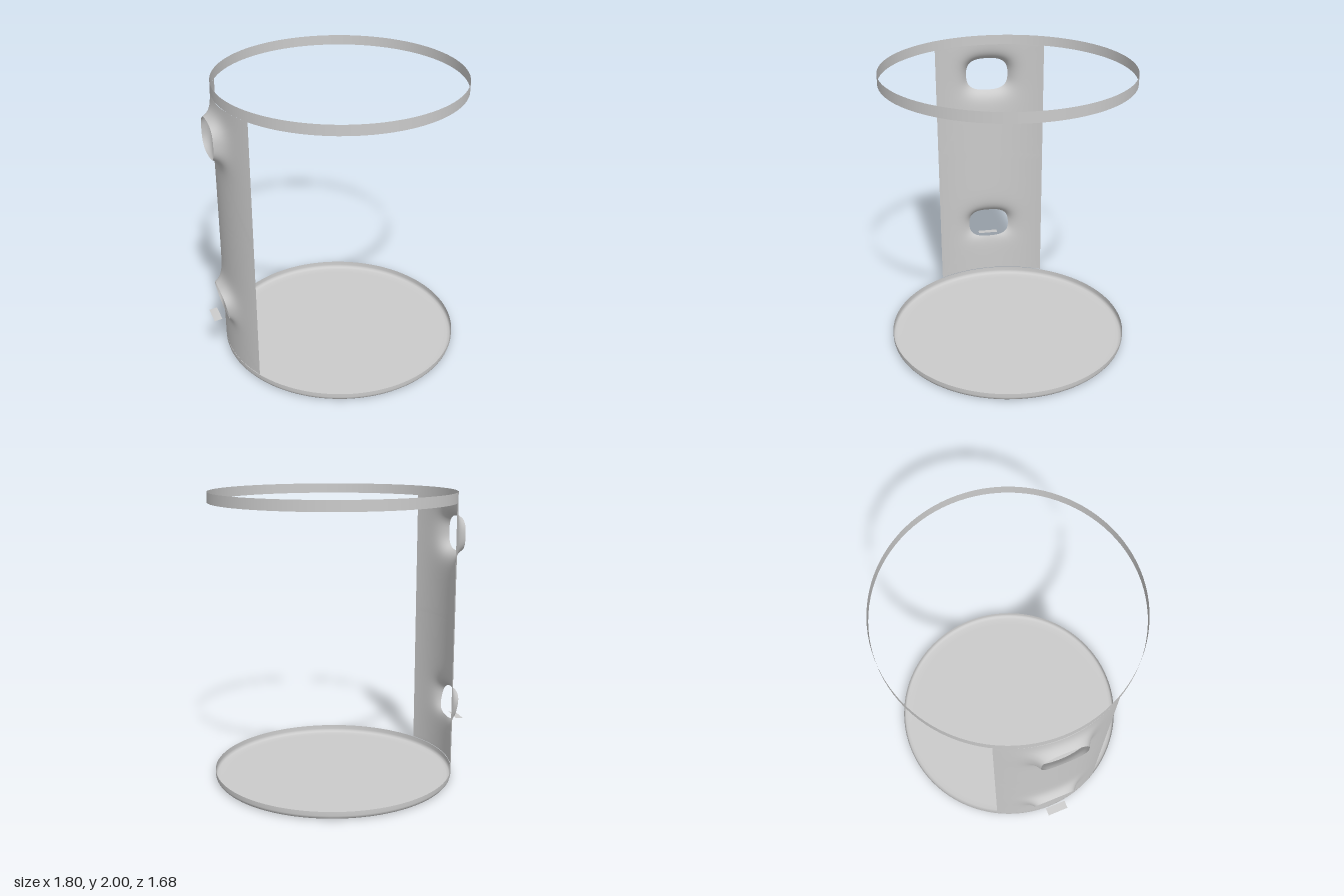
import * as THREE from 'three';

const R = 0.84, CX = 0.057, HALF = 0.4; // drum radius, drum axis, half width of the panel

// Curved wall patch with one flared, rounded opening, built as loops from the lip to the patch border
function flaredPatch(yMin, yMax, hole, lipX) {
  const n = 18, rings = 22, border = [];
  const corners = [[-HALF, yMin], [HALF, yMin], [HALF, yMax], [-HALF, yMax]];
  for (let c = 0; c < 4; c++) {
    const [z0, y0] = corners[c], [z1, y1] = corners[(c + 1) % 4];
    for (let i = 0; i < n; i++) border.push([z0 + (z1 - z0) * i / n, y0 + (y1 - y0) * i / n]);
  }
  const wallX = z => CX - Math.sqrt(R * R - z * z);
  const count = border.length, pos = [], index = [];
  for (let r = 0; r <= rings; r++) {
    const t = Math.pow(r / rings, 2);
    for (const [bz, by] of border) {
      // lip point: rounded-rectangle outline in the direction of the border point
      const dy = by - hole.y, p = 2.8;
      const k = Math.pow(Math.pow(Math.abs(bz) / hole.w, p) + Math.pow(Math.abs(dy) / hole.h, p), -1 / p);
      const lz = bz * k, ly = hole.y + dy * k;
      const z = lz + (bz - lz) * t, y = ly + (by - ly) * t;
      const d = t * Math.hypot(bz - lz, by - ly);
      const flare = Math.min(0, lipX(ly) - wallX(lz)) * Math.exp(-d / 0.04);
      pos.push(wallX(z) + flare, y, z);
    }
  }
  for (let r = 0; r < rings; r++) {
    for (let i = 0; i < count; i++) {
      const j = (i + 1) % count;
      const a = r * count + i, b = a + count, c = (r + 1) * count + j, d = r * count + j;
      index.push(a, b, c, a, c, d);
    }
  }
  const g = new THREE.BufferGeometry();
  g.setAttribute('position', new THREE.Float32BufferAttribute(pos, 3));
  g.setIndex(index);
  g.computeVertexNormals();
  return g;
}

export function createModel() {
  const group = new THREE.Group();
  const material = new THREE.MeshStandardMaterial({ color: 0xcccccc, side: THREE.DoubleSide });
  const add = (name, geometry, x = 0, y = 0) => {
    const mesh = new THREE.Mesh(geometry, material);
    mesh.name = name;
    mesh.position.set(x, y, 0);
    group.add(mesh);
    return mesh;
  };

  // Top rim band
  add('topRing', new THREE.CylinderGeometry(R, R, 0.07, 96, 1, true), CX, 1.965);

  // Shallow dish with a rounded lower edge
  const dish = [[0, 0.004], [0.77, 0.004], [0.81, 0.005], [0.829, 0.01], [0.837, 0.02], [R, 0.032], [R, 0.06]];
  add('baseDish', new THREE.LatheGeometry(dish.map(([x, y]) => new THREE.Vector2(x, y)), 96), CX, 0);

  // Upright panel with two flared openings; the lower lip slopes inward towards its bottom
  add('upperPanel', flaredPatch(1.07, 1.93, { y: 1.69, w: 0.157, h: 0.122 }, () => -0.842));
  add('lowerPanel', flaredPatch(0.06, 1.07, { y: 0.455, w: 0.157, h: 0.107 },
    y => -0.84 + (0.56 - y) * 0.2));

  // Thin loose tab outside the lower opening
  const tab = add('tab', new THREE.PlaneGeometry(0.056, 0.15).rotateX(-Math.PI / 2), -0.872, 0.347);
  tab.rotation.z = 0.12;

  // Foot line of the dish rests on the ground
  group.children.find(m => m.name === 'baseDish').position.y = -0.004;
  return group;
}
